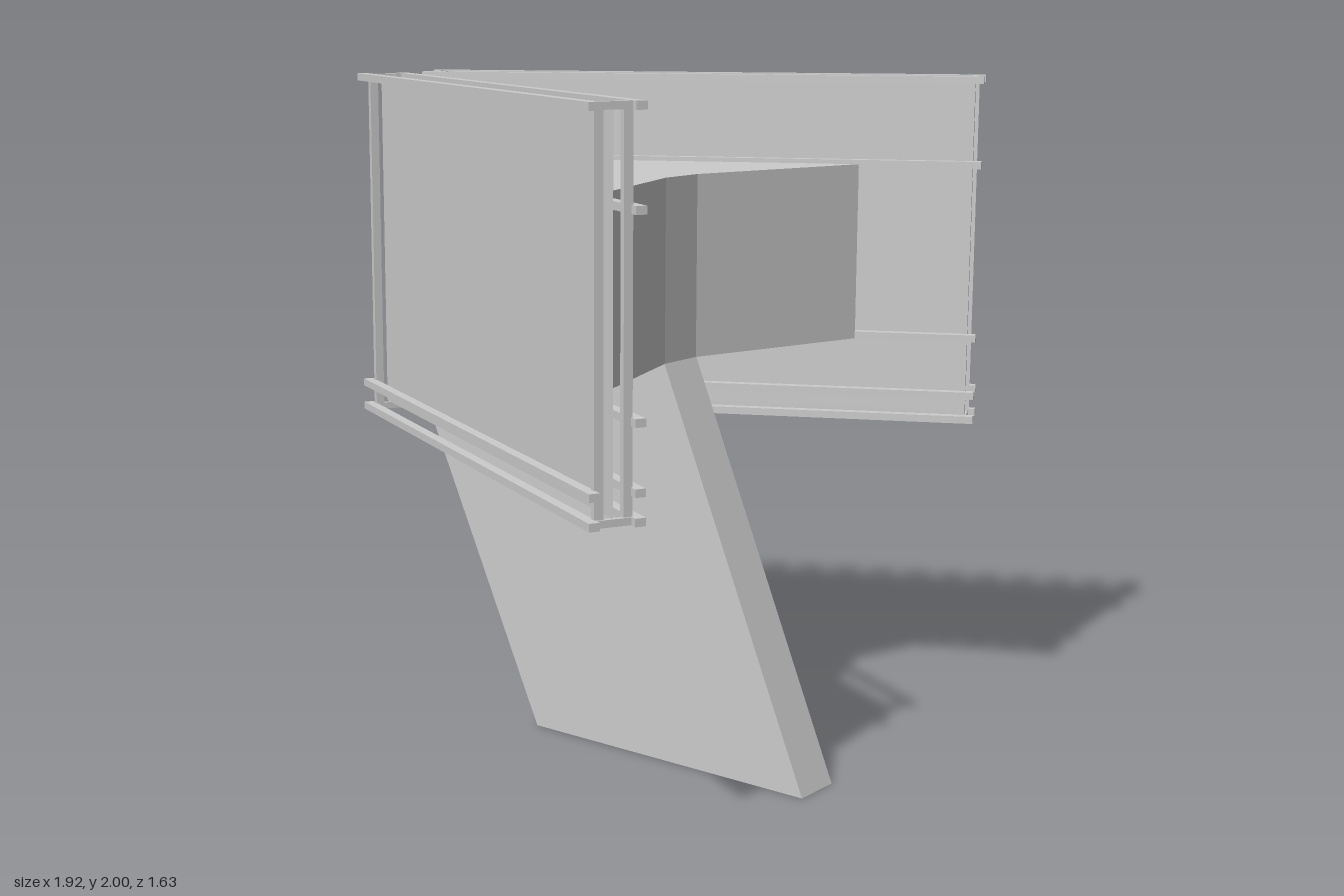
import * as THREE from 'three';

const grey = new THREE.MeshStandardMaterial({ color: 0xcccccc, flatShading: true });
const greyThin = new THREE.MeshStandardMaterial({ color: 0xcccccc, flatShading: true, side: THREE.DoubleSide });

function addBox(parent, name, [w, h, d], [x, y, z]) {
  const mesh = new THREE.Mesh(new THREE.BoxGeometry(w, h, d), grey);
  mesh.name = name;
  mesh.position.set(x, y, z);
  parent.add(mesh);
}

// One sign wing: local z runs along the wing, local x points outward
function createWing(side) {
  const wing = new THREE.Group();
  wing.name = side > 0 ? 'leftWing' : 'rightWing';
  wing.position.set(0.498 * side, 0, -0.006);
  wing.rotation.y = 0.4646 * side;

  const length = 1.742;
  for (const v of [-0.063, 0.063]) {
    const inner = v < 0;
    // Long horizontal rails, with two extra ones where the core is fixed
    const heights = inner ? [1.99, 1.737, 1.21, 1.032, 0.957] : [1.99, 1.032, 0.957];
    for (const y of heights) {
      addBox(wing, inner ? 'innerRail' : 'outerRail', [0.03, 0.022, length], [v * side, y, 0]);
    }
    // Upright posts at both ends
    for (const end of [-1, 1]) {
      addBox(wing, 'endPost', [0.025, 1.05, 0.02], [Math.sign(v) * 0.04 * side, 1.473, end * 0.835]);
    }
  }
  // Short crossbars tying the inner and outer rails
  for (const end of [-1, 1]) {
    for (const y of [1.99, 0.957]) {
      addBox(wing, 'crossbar', [0.1, 0.02, 0.014], [0, y, end * 0.843]);
    }
  }
  // Thin display panel between the rails
  const panel = new THREE.Mesh(new THREE.PlaneGeometry(1.71, 1.01), greyThin);
  panel.name = 'displayPanel';
  panel.position.set(0.006 * side, 1.475, 0);
  panel.rotation.y = (Math.PI / 2) * side;
  wing.add(panel);
  return wing;
}

// Arrow-shaped core joining the two wings
function createCore() {
  const shape = new THREE.Shape(
    [[-0.036, 0.75], [-0.655, -0.48], [-0.075, -0.3], [0.075, -0.3], [0.655, -0.48], [0.036, 0.75]]
      .map(([x, y]) => new THREE.Vector2(x, y)));
  const geometry = new THREE.ExtrudeGeometry(shape, { depth: 0.535, bevelEnabled: false });
  geometry.rotateX(-Math.PI / 2);
  const core = new THREE.Mesh(geometry, grey);
  core.name = 'core';
  core.position.y = 1.2;
  return core;
}

// Leaning hollow pylon, open at the foot
function createPylon() {
  const ring = (y, front, back) => [[-0.077, y, front], [0.077, y, front], [0.077, y, back], [-0.077, y, back]];
  const low = ring(0, 0.8, -0.19);
  const high = ring(1.2, 0.3, -0.745);
  const points = [];
  for (let i = 0; i < 4; i++) {
    const j = (i + 1) % 4;
    points.push(...low[i], ...low[j], ...high[j], ...low[i], ...high[j], ...high[i]);
  }
  const geometry = new THREE.BufferGeometry();
  geometry.setAttribute('position', new THREE.Float32BufferAttribute(points, 3));
  geometry.computeVertexNormals();
  const pylon = new THREE.Mesh(geometry, greyThin);
  pylon.name = 'pylon';
  return pylon;
}

export function createModel() {
  const model = new THREE.Group();
  model.name = 'vShapedBillboard';
  model.add(createPylon(), createCore(), createWing(1), createWing(-1));
  return model;
}
